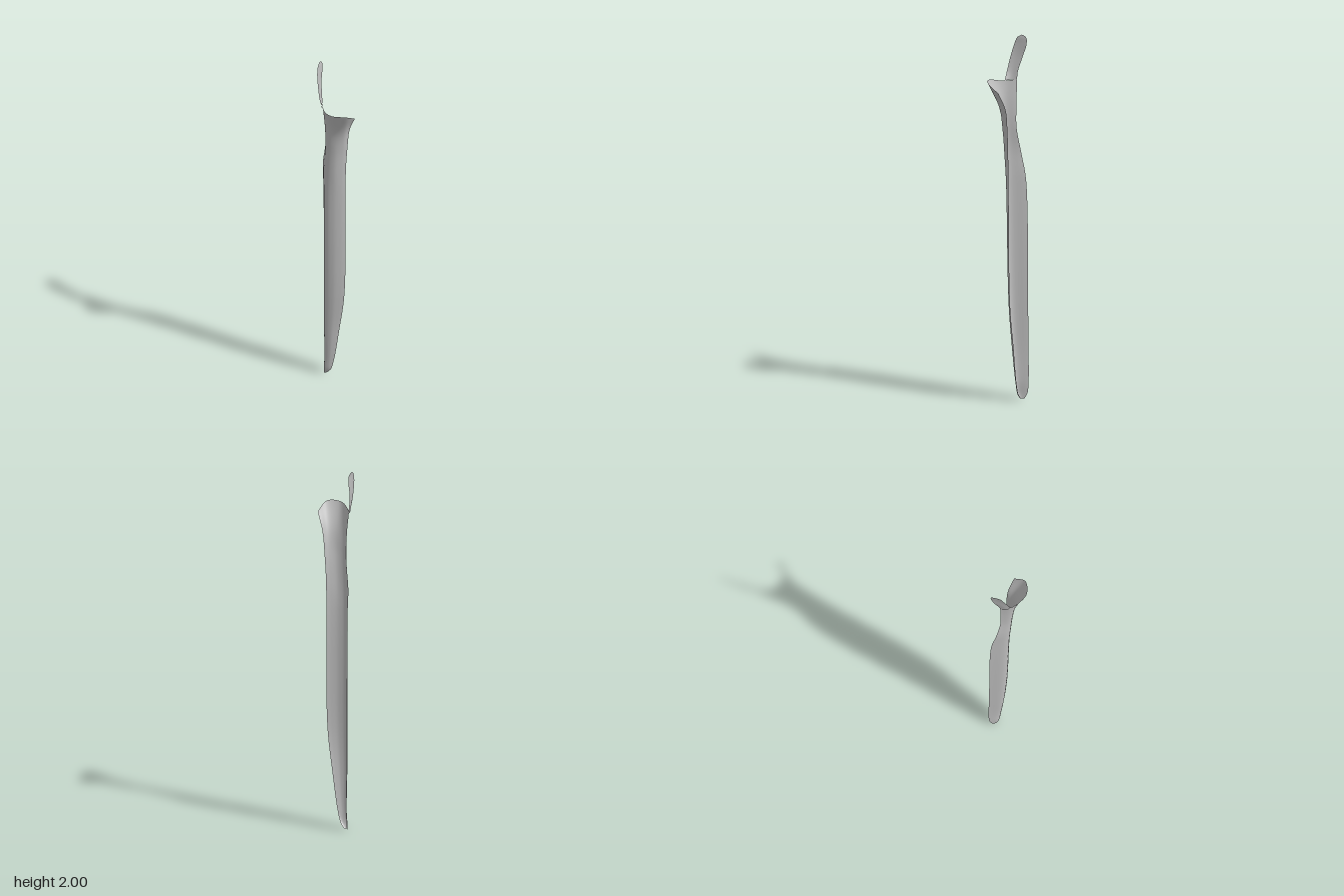
import * as THREE from 'three';

const curve = (points) => new THREE.CatmullRomCurve3(points.map((p) => new THREE.Vector3(...p)));

// Smooth sheet stretched across lengthwise rails that share the same number of points.
function sheet(rails, rows, cols, material, name) {
  const curves = rails.map(curve);
  const positions = [];
  const index = [];
  for (let i = 0; i <= rows; i++) {
    const section = new THREE.CatmullRomCurve3(curves.map((c) => c.getPoint(i / rows)));
    for (let j = 0; j <= cols; j++) positions.push(...section.getPoint(j / cols).toArray());
  }
  for (let i = 0; i < rows; i++) {
    for (let j = 0; j < cols; j++) {
      const a = i * (cols + 1) + j;
      const b = a + cols + 1;
      index.push(a, b, a + 1, b, b + 1, a + 1);
    }
  }
  const geometry = new THREE.BufferGeometry();
  geometry.setAttribute('position', new THREE.Float32BufferAttribute(positions, 3));
  geometry.setIndex(index);
  geometry.computeVertexNormals();
  const mesh = new THREE.Mesh(geometry, material);
  mesh.name = name;
  return mesh;
}

export function createModel() {
  const group = new THREE.Group();
  group.name = 'foldedBlade';
  const grey = new THREE.MeshStandardMaterial({ color: 0xc0c0c0, side: THREE.DoubleSide });
  grey.name = 'grey';

  // Long folded body, open towards +x, flaring into a lip at the top
  const heights = [0, 0.03, 0.1, 0.3, 0.55, 1.2, 1.35, 1.5, 1.63];
  const rail = (xz, top) => [...xz.map(([x, z], i) => [x, heights[i], z]), top];
  const frontEdge = rail([[0.045, -0.08], [0.045, -0.055], [0.045, -0.034], [0.047, -0.002], [0.046, 0.033],
    [0.043, 0.043], [0.042, 0.045], [0.043, 0.054], [0.041, 0.07]], [0.025, 1.73, 0.115]);
  const frontBelly = rail([[0.042, -0.082], [0.036, -0.06], [0.036, -0.042], [0.032, -0.015], [0.028, 0.014],
    [0.022, 0.025], [0.02, 0.03], [0.017, 0.042], [0.005, 0.063]], [-0.045, 1.775, 0.108]);
  const sideBelly = rail([[0.038, -0.086], [0.03, -0.07], [0.026, -0.055], [0.016, -0.035], [0.007, -0.017],
    [-0.003, -0.008], [-0.008, 0], [-0.014, 0.01], [-0.026, 0.022]], [-0.079, 1.775, 0.04]);
  const fold = rail([[0.036, -0.092], [0.027, -0.085], [0.023, -0.075], [0.01, -0.068], [0, -0.06],
    [-0.012, -0.05], [-0.017, -0.045], [-0.022, -0.036], [-0.03, -0.032]], [-0.035, 1.755, -0.045]);
  const backEdge = rail([[0.052, -0.105], [0.066, -0.112], [0.072, -0.114], [0.071, -0.114], [0.069, -0.113],
    [0.058, -0.112], [0.036, -0.1], [0.022, -0.073], [0.02, -0.076]], [0.016, 1.76, -0.088]);
  group.add(sheet([frontEdge, frontBelly, sideBelly, fold, backEdge], 72, 24, grey, 'body'));

  // Rounded tongue rising from the back of the lip
  const tongue = [
    [[-0.035, 1.755, -0.045], [-0.035, 1.8, -0.067], [-0.025, 1.88, -0.088], [-0.01, 1.95, -0.104], [0.004, 1.985, -0.11], [0.026, 2, -0.117]],
    [[-0.016, 1.757, -0.072], [-0.011, 1.8, -0.083], [0.006, 1.88, -0.1], [0.024, 1.95, -0.11], [0.03, 1.985, -0.114], [0.031, 2, -0.118]],
    [[0.016, 1.76, -0.088], [0.018, 1.8, -0.092], [0.037, 1.88, -0.109], [0.057, 1.95, -0.117], [0.055, 1.985, -0.119], [0.036, 2, -0.118]],
  ];
  group.add(sheet(tongue, 30, 10, grey, 'tongue'));

  return group;
}
